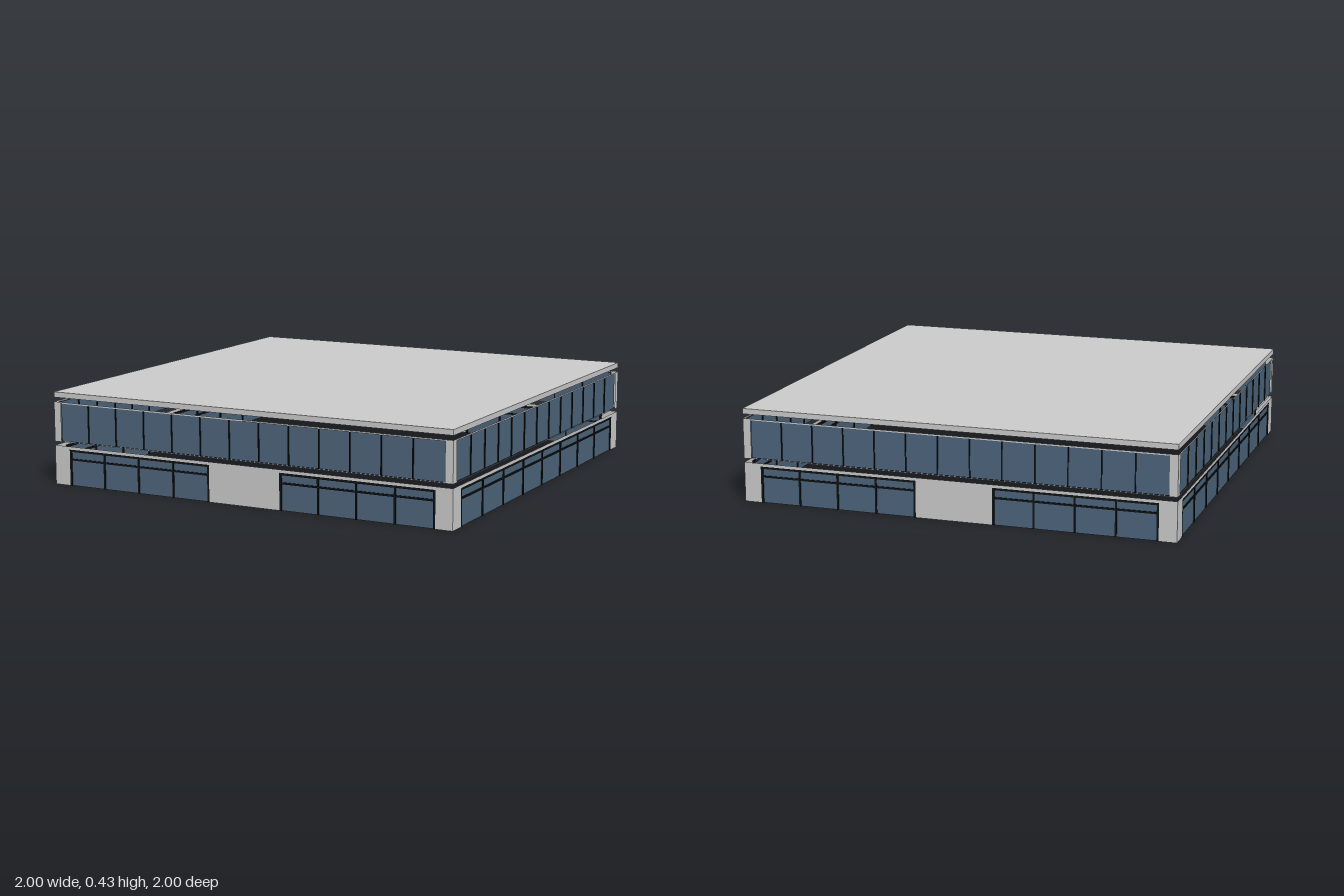
import * as THREE from 'three';

const grey = new THREE.MeshStandardMaterial({ color: 0xcccccc, side: THREE.DoubleSide });
const glass = new THREE.MeshStandardMaterial({ color: 0x4d657c, side: THREE.DoubleSide });
const dark = new THREE.MeshStandardMaterial({ color: 0x101214 });

// Flat panel facing +z between two corners
function panel(parent, name, mat, x0, x1, y0, y1, z) {
  const m = new THREE.Mesh(new THREE.PlaneGeometry(x1 - x0, y1 - y0), mat);
  m.position.set((x0 + x1) / 2, (y0 + y1) / 2, z);
  m.name = name;
  parent.add(m);
}

// Slim frame bar between two corners
function bar(parent, name, x0, x1, y0, y1) {
  const m = new THREE.Mesh(new THREE.BoxGeometry(x1 - x0, y1 - y0, 0.01), dark);
  m.position.set((x0 + x1) / 2, (y0 + y1) / 2, 0.995);
  m.name = name;
  parent.add(m);
}

// Wall with rectangular window openings, each [x0, x1, y0, y1]
function wall(parent, name, y0, y1, openings) {
  let x = -1;
  for (const [a, b, lo, hi] of openings) {
    panel(parent, name, grey, x, a, y0, y1, 1);
    if (lo > y0) panel(parent, name + 'Sill', grey, a, b, y0, lo, 1);
    panel(parent, name + 'Lintel', grey, a, b, hi, y1, 1);
    panel(parent, name + 'Glass', glass, a, b, lo, hi, 0.995);
    x = b;
  }
  panel(parent, name, grey, x, 1, y0, y1, 1);
}

// Ground floor shop window: frame, transom and mullions
function windowFrame(parent, x0, x1, count) {
  const w = 0.01, top = 0.168;
  for (let i = 0; i <= count; i++) {
    const x = x0 + w / 2 + (x1 - x0 - w) * i / count;
    const h = i === 0 || i === count ? w / 2 : 0.004;
    bar(parent, 'groundMullion', x - h, x + h, 0, top);
  }
  bar(parent, 'groundHead', x0, x1, top - w, top);
  bar(parent, 'groundTransom', x0, x1, 0.118, 0.126);
}

function facade(name, hasEntrance) {
  const g = new THREE.Group();
  g.name = name;

  // Ground floor, with a solid middle bay on front and back
  const bays = hasEntrance ? [[-0.92, -0.177, 4], [0.177, 0.92, 4]] : [[-0.917, 0.917, 8]];
  wall(g, 'groundWall', 0, 0.182, bays.map(([a, b]) => [a, b, 0, 0.168]));
  for (const [a, b, n] of bays) windowFrame(g, a, b, n);

  // Upper ribbon window
  const e = 0.963, n = 13;
  wall(g, 'upperWall', 0.2, 0.385, [[-e, e, 0.203, 0.378]]);
  for (let i = 1; i < n; i++) {
    const x = -e + 2 * e * i / n;
    bar(g, 'upperMullion', x - 0.0025, x + 0.0025, 0.203, 0.378);
  }
  return g;
}

export function createModel() {
  const model = new THREE.Group();
  model.name = 'building';

  // Four facades around a hollow interior
  ['frontFacade', 'leftFacade', 'backFacade', 'rightFacade'].forEach((name, i) => {
    const f = facade(name, i % 2 === 0);
    f.rotation.y = i * Math.PI / 2;
    model.add(f);
  });

  // Floating flat roof
  const roof = new THREE.Mesh(new THREE.BoxGeometry(2, 0.025, 2), grey);
  roof.position.y = 0.4175;
  roof.name = 'roof';
  model.add(roof);
  return model;
}
